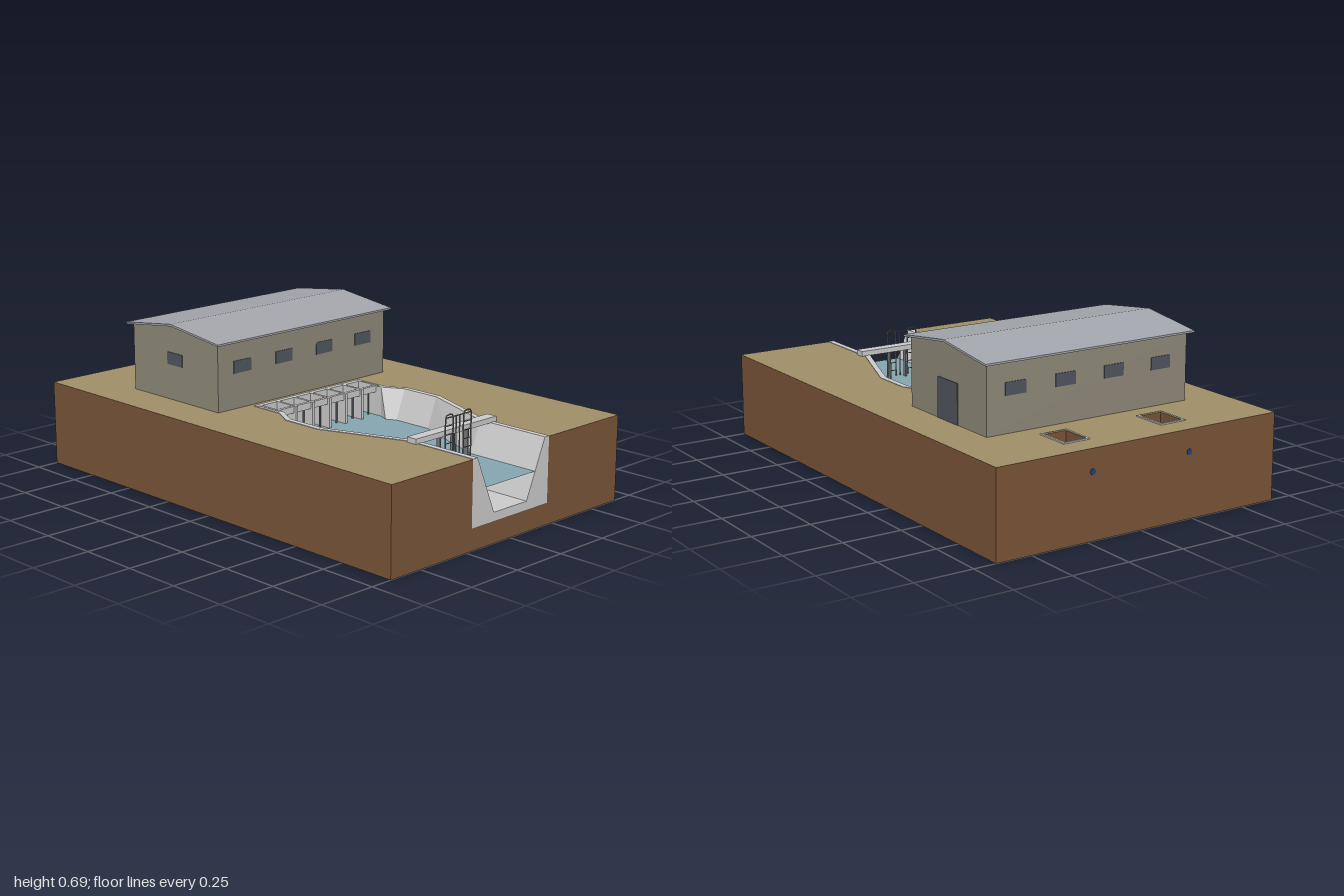
import * as THREE from 'three';

const mat = (color, side = THREE.FrontSide) =>
  new THREE.MeshStandardMaterial({ color, side, flatShading: true });
const M = {
  concrete: mat(0xcccccc), grass: mat(0xa08e68), soil: mat(0x7a5538),
  wall: mat(0x8e8978), roof: mat(0xa3a6ac), dark: mat(0x50555e),
  steel: mat(0x77797c), water: mat(0x86a6b0, THREE.DoubleSide), blue: mat(0x1f3f8f),
};
const TOP = 0.36, BED = 0.125, BASE = 0.09, WATER = 0.235;

// Channel stations: z, outer half width, inner half width at top, at bed
const STATIONS = [
  [-0.11, 0.305, 0.285, 0.285], [0.04, 0.305, 0.28, 0.28], [0.13, 0.355, 0.33, 0.24],
  [0.31, 0.355, 0.33, 0.24], [0.67, 0.22, 0.195, 0.095], [1, 0.22, 0.195, 0.095],
];

function add(parent, name, geometry, material, x = 0, y = 0, z = 0) {
  const mesh = new THREE.Mesh(geometry, material);
  mesh.name = name;
  mesh.position.set(x, y, z);
  parent.add(mesh);
  return mesh;
}

// Box given by its extents
function box(parent, name, material, x0, x1, y0, y1, z0, z1) {
  return add(parent, name, new THREE.BoxGeometry(x1 - x0, y1 - y0, z1 - z0), material,
    (x0 + x1) / 2, (y0 + y1) / 2, (z0 + z1) / 2);
}

function tube(parent, name, material, points, radius, sides = 8) {
  const path = new THREE.CurvePath();
  const v = points.map(p => new THREE.Vector3(...p));
  for (let i = 1; i < v.length; i++) path.add(new THREE.LineCurve3(v[i - 1], v[i]));
  return add(parent, name, new THREE.TubeGeometry(path, (v.length - 1) * 8, radius, sides), material);
}

const shapeOf = pts => new THREE.Shape(pts.map(p => new THREE.Vector2(...p)));
const rect = (x0, x1, z0, z1) => [[x0, -z0], [x1, -z0], [x1, -z1], [x0, -z1]];

// Plan outline (x, -z) extruded upward
function slab(shape, height) {
  return new THREE.ExtrudeGeometry(shape, { depth: height, bevelEnabled: false }).rotateX(-Math.PI / 2);
}

// Gable profile (z, y) extruded along x, centred
function along(pts, length) {
  return new THREE.ExtrudeGeometry(shapeOf(pts), { depth: length, bevelEnabled: false })
    .translate(0, 0, -length / 2).rotateY(Math.PI / 2);
}

// U-shaped concrete channel lofted through the stations
function channelGeometry() {
  const section = ([, o, t, b]) => [[-o, BASE], [o, BASE], [o, TOP + 0.002], [t, TOP + 0.002],
    [b, BED], [-b, BED], [-t, TOP + 0.002], [-o, TOP + 0.002]];
  const pos = [], idx = [], n = 8;
  STATIONS.forEach(s => section(s).forEach(p => pos.push(p[0], p[1], s[0])));
  for (let i = 0; i < STATIONS.length - 1; i++) {
    for (let j = 0; j < n; j++) {
      const a = i * n + j, b = i * n + (j + 1) % n;
      idx.push(a, b, b + n, a, b + n, a + n);
    }
  }
  const last = (STATIONS.length - 1) * n;
  const outline = section(STATIONS.at(-1)).map(p => new THREE.Vector2(...p));
  for (const [a, b, c] of THREE.ShapeUtils.triangulateShape(outline, [])) {
    idx.push(last + a, last + b, last + c, a, c, b);
  }
  const g = new THREE.BufferGeometry();
  g.setAttribute('position', new THREE.Float32BufferAttribute(pos, 3));
  g.setIndex(idx);
  const flat = g.toNonIndexed();
  flat.computeVertexNormals();
  return flat;
}

function group(parent, name) {
  const g = new THREE.Group();
  g.name = name;
  parent.add(g);
  return g;
}

export function createModel() {
  const model = new THREE.Group();
  model.name = 'pumpingStation';

  // Ground with the channel notch and two pits cut out
  const ground = group(model, 'ground');
  box(ground, 'subsoil', M.soil, -0.655, 0.655, 0, BASE, -1, 1);
  const right = STATIONS.map(([z, o]) => [o, -z]);
  const left = STATIONS.map(([z, o]) => [-o, -z]);
  const plan = shapeOf([...left.reverse(), ...right, [0.655, -1], [0.655, 1], [-0.655, 1], [-0.655, -1]]);
  const pits = [-0.228, 0.228];
  for (const x of pits) {
    plan.holes.push(new THREE.Path(rect(x - 0.055, x + 0.055, -0.895, -0.755).map(p => new THREE.Vector2(...p))));
  }
  add(ground, 'terrain', slab(plan, TOP - BASE), [M.grass, M.soil], 0, BASE);

  // Channel and water
  add(model, 'channel', channelGeometry(), M.concrete);
  const half = ([z, , t, b]) => [b + (t - b) * (WATER - BED) / (TOP - BED), -z];
  const edge = STATIONS.map(half);
  const surface = shapeOf([...edge, ...edge.map(([x, y]) => [-x, y]).reverse()]);
  add(model, 'water', new THREE.ShapeGeometry(surface).rotateX(-Math.PI / 2), M.water, 0, WATER);

  // Six pump bays
  const bays = group(model, 'pumpBays');
  const pitch = 0.095;
  box(bays, 'backWall', M.concrete, -0.3, 0.3, BED, TOP + 0.003, -0.115, -0.092);
  box(bays, 'frontBeam', M.concrete, -0.285, 0.285, TOP - 0.025, TOP + 0.003, -0.005, 0.01);
  for (let i = 0; i <= 6; i++) {
    const x = (i - 3) * pitch;
    box(bays, 'divider', M.concrete, x - 0.006, x + 0.006, BED, TOP + 0.004, -0.1, 0.02);
  }
  const bell = [[0, 0], [0.016, 0], [0.014, 0.012], [0.009, 0.03]].map(p => new THREE.Vector2(...p));
  for (let i = 0; i < 6; i++) {
    const x = (i - 2.5) * pitch;
    const pump = group(bays, 'pump');
    add(pump, 'suctionBell', new THREE.LatheGeometry(bell, 12), M.blue, x, 0.145, -0.045);
    add(pump, 'column', new THREE.CylinderGeometry(0.009, 0.009, 0.1, 12), M.blue, x, 0.22, -0.045);
    add(pump, 'elbow', new THREE.SphereGeometry(0.012, 12, 8), M.blue, x, 0.27, -0.045);
    const pipe = add(pump, 'outletPipe', new THREE.CylinderGeometry(0.009, 0.009, 0.055, 12), M.blue, x, 0.27, -0.07);
    pipe.rotation.x = Math.PI / 2;
    add(pump, 'levelProbe', new THREE.CylinderGeometry(0.004, 0.004, 0.18, 6), M.steel, x + 0.025, 0.24, -0.018);
  }

  // Pump house
  const house = group(model, 'pumpHouse');
  house.position.z = -0.403;
  add(house, 'walls', along([[-0.266, TOP], [0.266, TOP], [0.266, 0.643], [0, 0.678], [-0.266, 0.643]], 0.95), M.wall);
  add(house, 'roof', along([[-0.29, 0.64], [0, 0.676], [0.29, 0.64], [0.29, 0.648], [0, 0.685], [-0.29, 0.648]], 0.99), M.roof);
  for (const x of [-0.345, -0.115, 0.115, 0.345]) {
    for (const z of [-0.266, 0.266]) {
      box(house, 'window', M.dark, x - 0.047, x + 0.047, 0.508, 0.56, z - 0.003, z + 0.003);
    }
  }
  box(house, 'endWindow', M.dark, -0.478, -0.472, 0.508, 0.56, -0.047, 0.047);
  box(house, 'door', M.dark, 0.472, 0.478, TOP, 0.525, -0.07, 0.07);

  // Sluice bridge with gate and two ladders
  const sluice = group(model, 'sluice');
  box(sluice, 'bridge', M.concrete, -0.232, 0.232, TOP, 0.382, 0.675, 0.722);
  box(sluice, 'gate', M.concrete, -0.078, -0.002, BED, WATER, 0.694, 0.704);
  for (const x of [-0.08, 0, 0.08]) {
    box(sluice, 'gateGuide', M.steel, x - 0.003, x + 0.003, BED, TOP, 0.69, 0.71);
  }
  const z = 0.728;
  for (const s of [-1, 1]) {
    const ladder = group(sluice, 'ladder');
    const a = s * 0.03, b = s * 0.074;
    tube(ladder, 'rails', M.steel, [[a, BED, z], [a, 0.435, z], [a + s * 0.008, 0.445, z],
      [b - s * 0.008, 0.445, z], [b, 0.435, z], [b, BED, z]], 0.003, 6);
    for (let y = 0.155; y < 0.42; y += 0.035) {
      tube(ladder, 'rung', M.steel, [[a, y, z], [b, y, z]], 0.002, 6);
    }
    tube(sluice, 'gateStem', M.steel, [[s * 0.01, BED, z - 0.002], [s * 0.01, 0.435, z - 0.002]], 0.0025, 6);
  }
  tube(sluice, 'handrail', M.steel, [[-0.076, 0.433, z], [0.076, 0.433, z]], 0.0025, 6);

  // Outlet pits behind the house, each with a discharge pipe
  for (const x of pits) {
    const pit = group(model, 'outletPit');
    const frame = shapeOf(rect(x - 0.06, x + 0.06, -0.9, -0.75));
    frame.holes.push(new THREE.Path(rect(x - 0.05, x + 0.05, -0.89, -0.76).map(p => new THREE.Vector2(...p))));
    add(pit, 'lining', slab(frame, TOP + 0.005 - 0.2), M.concrete, 0, 0.2);
    box(pit, 'floor', M.concrete, x - 0.055, x + 0.055, 0.19, 0.21, -0.895, -0.755);
    tube(pit, 'dischargePipe', M.blue, [[x, 0.27, -1.002], [x, 0.27, -0.7]], 0.01, 12);
    const cap = add(pit, 'pipeEnd', new THREE.CylinderGeometry(0.012, 0.012, 0.006, 16), M.blue, x, 0.27, -1);
    cap.rotation.x = Math.PI / 2;
    box(pit, 'valve', M.blue, x - 0.014, x + 0.014, 0.256, 0.29, -0.835, -0.815);
  }
  return model;
}
